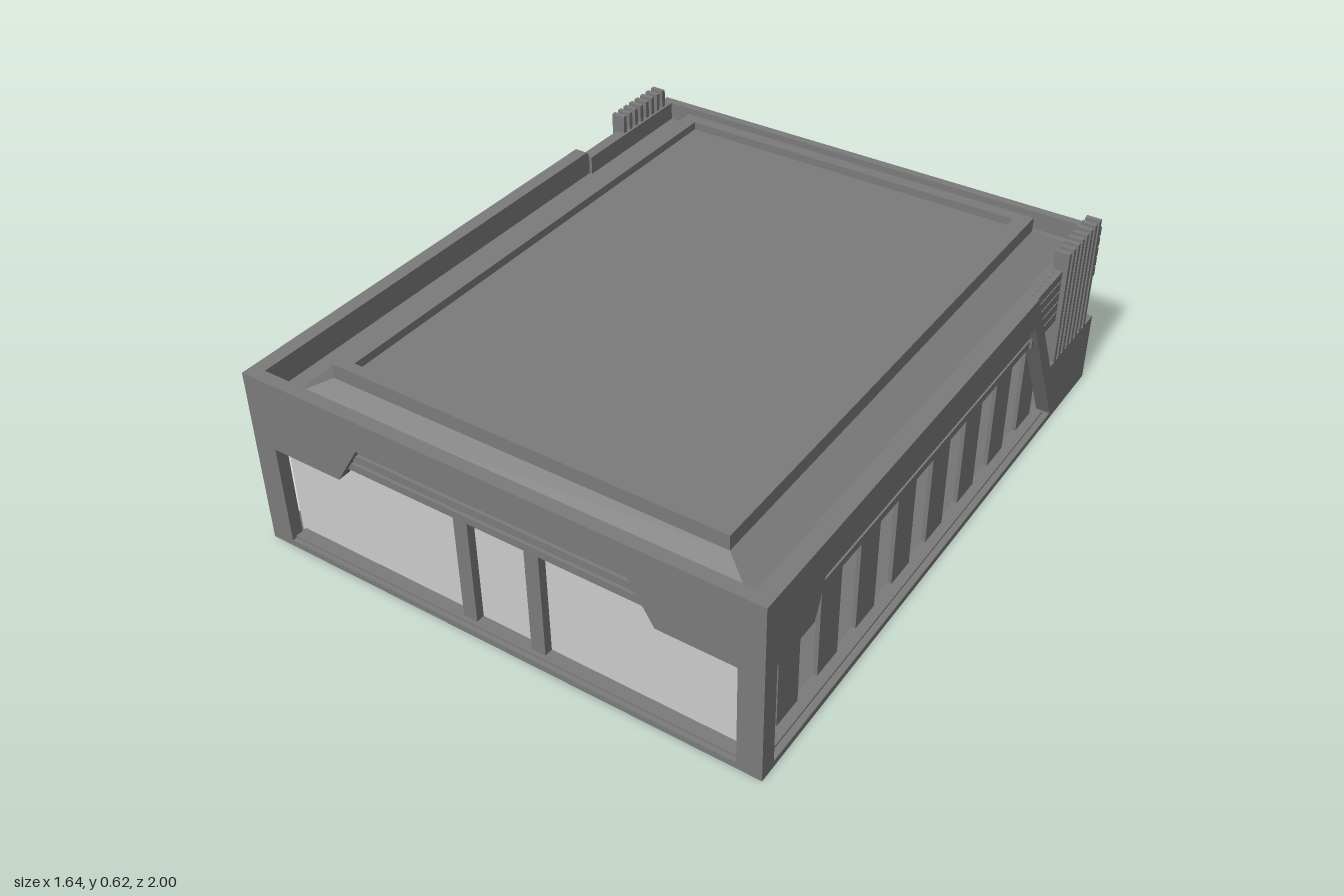
import * as THREE from 'three';

const dark = new THREE.MeshStandardMaterial({ color: 0x7b7b7b, flatShading: true });
const light = new THREE.MeshStandardMaterial({ color: 0xcccccc, flatShading: true });

export function createModel() {
  const model = new THREE.Group();

  function add(name, geometry, material = dark) {
    const mesh = new THREE.Mesh(geometry, material);
    mesh.name = name;
    model.add(mesh);
    return mesh;
  }
  // Box given by its limits on each axis
  function box(name, x0, x1, y0, y1, z0, z1, material) {
    const mesh = add(name, new THREE.BoxGeometry(x1 - x0, y1 - y0, z1 - z0), material);
    mesh.position.set((x0 + x1) / 2, (y0 + y1) / 2, (z0 + z1) / 2);
  }
  // The same box on both sides of the building
  function pair(name, x0, x1, ...rest) {
    box(name, x0, x1, ...rest);
    box(name, -x1, -x0, ...rest);
  }
  // Flat plate with one opening
  function plate(outline, opening, depth) {
    const points = (list) => list.map(([x, y]) => new THREE.Vector2(x, y));
    const shape = new THREE.Shape(points(outline));
    shape.holes.push(new THREE.Path(points(opening)));
    return new THREE.ExtrudeGeometry(shape, { depth, bevelEnabled: false });
  }

  // Base, body and the wider band under the roof
  box('base', -0.82, 0.82, 0, 0.02, -1, 1);
  box('body', -0.75, 0.75, 0.02, 0.48, -0.975, 0.94);
  box('upperBand', -0.775, 0.775, 0.385, 0.5, -0.98, 0.96);

  // Front frame with stepped opening
  const front = plate(
    [[-0.82, 0], [0.82, 0], [0.82, 0.58], [-0.82, 0.58]],
    [[-0.745, 0.02], [-0.745, 0.35], [-0.51, 0.35], [-0.43, 0.48],
      [0.43, 0.48], [0.51, 0.35], [0.745, 0.35], [0.745, 0.02]], 0.04);
  add('frontFrame', front.translate(0, 0, 0.96));

  // Side frames: slanted rear strut and low rear panel (shape x is -z)
  const side = plate(
    [[-1, 0], [1, 0], [1, 0.235], [0.67, 0.235], [0.49, 0.58], [-1, 0.58]],
    [[-0.945, 0.02], [-0.945, 0.35], [-0.77, 0.35], [-0.72, 0.48],
      [0.49, 0.48], [0.73, 0.02]], 0.045).rotateY(Math.PI / 2);
  add('sideFrame', side.clone().translate(0.775, 0, 0));
  add('sideFrame', side.clone().translate(-0.82, 0, 0));

  // Windows with sills, posts and pillars
  box('frontWindow', -0.75, 0.75, 0.02, 0.385, 0.935, 0.945, light);
  box('frontSill', -0.745, 0.745, 0.018, 0.026, 0.94, 0.985);
  pair('sideWindow', 0.745, 0.757, 0.02, 0.385, -0.99, 0.945, light);
  pair('sideSill', 0.75, 0.8, 0.018, 0.026, -0.72, 0.945);
  pair('frontPost', 0.092, 0.138, 0.02, 0.48, 0.94, 0.972);
  for (let i = 0; i < 9; i++) {
    const z = 0.798 - 0.2045 * i;
    pair('sidePillar', 0.75, 0.77, 0.02, 0.385, z - 0.052, z + 0.052);
  }

  // Louvers above the windows
  for (let i = 0; i < 3; i++) {
    const y = 0.385 + 0.035 * i;
    box('frontLouver', -0.51, 0.51, y, y + 0.024, 0.955, 0.982);
    pair('sideLouver', 0.77, 0.798, y, y + 0.024, -0.52, 0.77);
  }

  // Louvers wrapping the rear
  box('rearLouverBacking', -0.785, 0.785, 0.385, 0.56, -0.99, -0.97);
  pair('rearSideBacking', 0.765, 0.785, 0.385, 0.56, -0.97, -0.5);
  for (let i = 0; i < 5; i++) {
    const y = 0.385 + 0.036 * i;
    box('rearLouver', -0.805, 0.805, y, y + 0.03, -1, -0.975);
    pair('rearSideLouver', 0.77, 0.805, y, y + 0.03, -0.98, -0.52);
  }

  // Upright fins at the rear corners
  for (let i = 0; i < 8; i++) {
    const z = -0.705 - 0.0325 * i;
    pair('fin', 0.773, 0.82, 0.235, 0.62, z - 0.008, z + 0.008);
  }

  // Rear wall with a slightly raised door
  box('rearWall', -0.765, 0.765, 0.02, 0.385, -0.985, -0.965);
  box('rearDoor', -0.14, 0.14, 0.02, 0.385, -0.992, -0.98);
  box('doorHandle', -0.022, -0.017, 0.13, 0.25, -0.996, -0.99);

  // Sloped roof: the top corners of a box pulled inwards
  const slope = new THREE.BoxGeometry(1.47, 0.055, 1.88);
  const p = slope.attributes.position;
  for (let i = 0; i < p.count; i++) {
    if (p.getY(i) > 0) {
      p.setX(i, Math.sign(p.getX(i)) * 0.63);
      p.setZ(i, Math.sign(p.getZ(i)) * 0.865);
    }
  }
  slope.computeVertexNormals();
  add('roofSlope', slope).position.set(0, 0.5225, -0.01);

  // Raised rim around the recessed roof panel
  const rim = plate(
    [[-0.63, -0.855], [0.63, -0.855], [0.63, 0.875], [-0.63, 0.875]],
    [[-0.58, -0.82], [-0.58, 0.835], [0.58, 0.835], [0.58, -0.82]], 0.048);
  add('roofRim', rim.rotateX(-Math.PI / 2).translate(0, 0.548, 0));
  box('roofPanel', -0.59, 0.59, 0.54, 0.57, -0.845, 0.83);

  return model;
}
